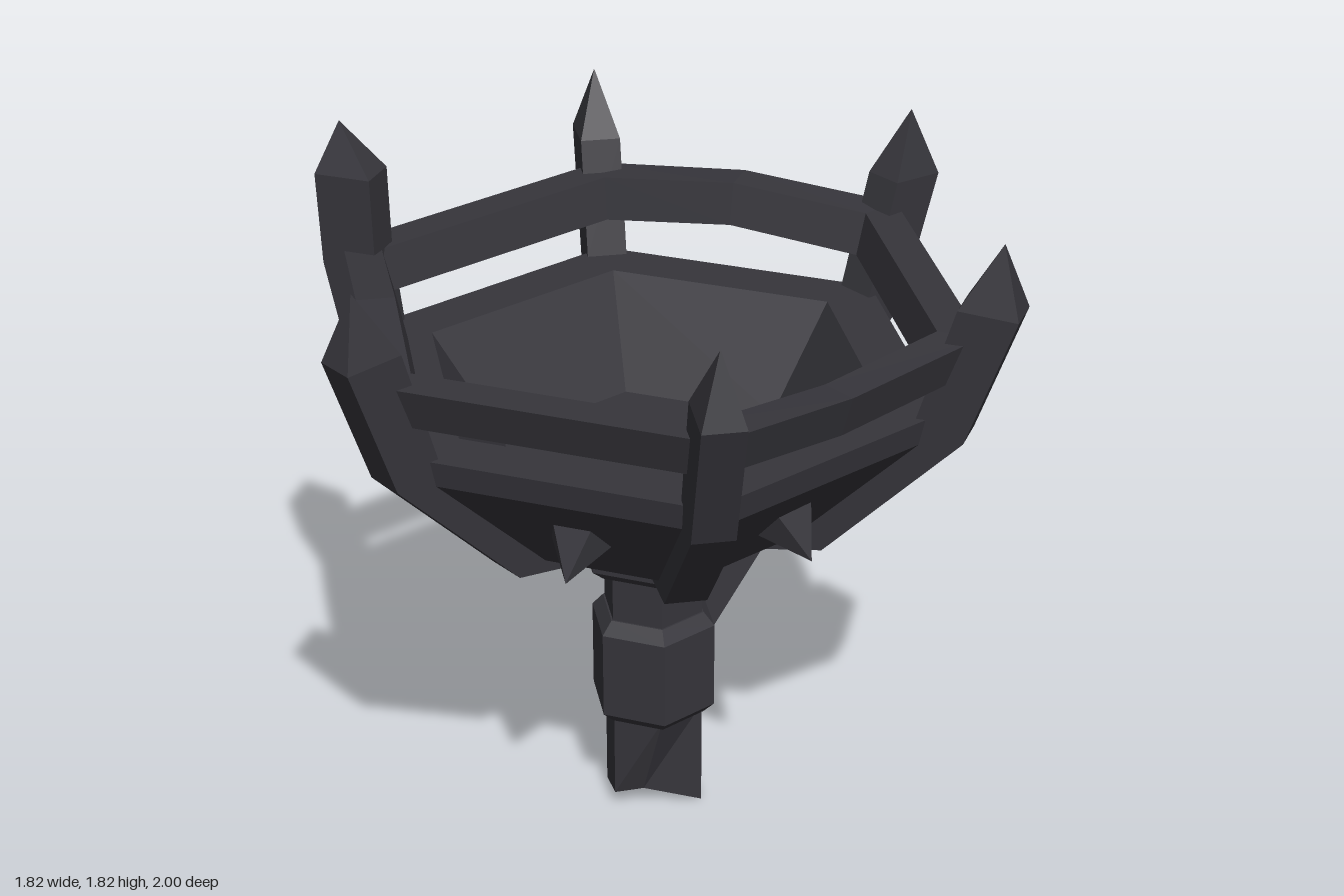
import * as THREE from 'three';

const iron = new THREE.MeshStandardMaterial({ color: 0x36353b, flatShading: true });
iron.name = 'darkIron';

function part(name, geometry, parent) {
  const mesh = new THREE.Mesh(geometry, iron);
  mesh.name = name;
  parent.add(mesh);
  return mesh;
}

// Six-sided turned form with corners on the x axis; profile runs bottom to top
function hexTurn(profile) {
  const pts = profile.map(([r, y]) => new THREE.Vector2(r, y));
  return new THREE.LatheGeometry(pts, 6, Math.PI / 6);
}

// Solid through four-cornered sections, capped at both ends
function loft(sections) {
  const index = [0, 1, 2, 0, 2, 3];
  for (let i = 0; i < sections.length - 1; i++) {
    for (let j = 0; j < 4; j++) {
      const a = i * 4 + j, b = i * 4 + (j + 1) % 4;
      index.push(a, a + 4, b, a + 4, b + 4, b);
    }
  }
  const e = (sections.length - 1) * 4;
  index.push(e, e + 2, e + 1, e, e + 3, e + 2);
  const geo = new THREE.BufferGeometry();
  geo.setAttribute('position', new THREE.Float32BufferAttribute(sections.flat(2), 3));
  geo.setIndex(index);
  geo.computeVertexNormals();
  return geo;
}

// Curved upright with a pointed tip; rows are outer r, outer y, inner r, inner y
function ribGeometry(tall) {
  const rows = [
    [0.10, 0.80, 0.10, 0.88],
    [0.47, 0.86, 0.42, 0.95],
    [0.82, 1.22, 0.70, 1.27],
  ];
  if (tall) rows.push([0.87, 1.45, 0.725, 1.47], [0.88, 1.69, 0.73, 1.69], [0.83, 1.82, 0.83, 1.82]);
  else rows.push([0.94, 1.56, 0.79, 1.57], [0.885, 1.735, 0.885, 1.735]);
  return loft(rows.map(([ro, yo, ri, yi], i) => {
    const w = i === rows.length - 1 ? 0.001 : 0.053;
    return [[ro, yo, -w], [ro, yo, w], [ri, yi, w], [ri, yi, -w]];
  }));
}

// Straight band segment between two uprights, its middle bent by dy
function bandGeometry(dy) {
  const corners = [[0.80, 1.375], [0.70, 1.375], [0.73, 1.485], [0.84, 1.485]];
  const c = Math.cos(Math.PI / 3), s = Math.sin(Math.PI / 3);
  return loft([0, 0.5, 1].map((t) => corners.map(([r, y]) => [
    r * (1 - t + t * c), y + (t === 0.5 ? dy : 0), r * t * s,
  ])));
}

export function createModel() {
  const model = new THREE.Group();
  model.name = 'wallBrazier';
  const body = new THREE.Group();
  body.name = 'brazierBody';
  body.position.set(-0.03, 0, 0.155);
  model.add(body);

  // Bowl with thick rim and flat floor
  part('bowl', hexTurn([
    [0, 0.82], [0.12, 0.82], [0.42, 0.88], [0.74, 1.2], [0.755, 1.27],
    [0.6, 1.27], [0.41, 1.0], [0, 1.0],
  ]), body);

  // Uprights, bent bands and studs around the bowl
  const bends = [-0.025, 0, 0.03, 0, 0.035, 0];
  for (let k = 0; k < 6; k++) {
    const a = k * Math.PI / 3;
    part('rib', ribGeometry(k === 3), body).rotation.y = -a;
    part('band', bandGeometry(bends[k]), body).rotation.y = -a;

    const m = a + Math.PI / 6;
    const out = new THREE.Vector3(Math.cos(m) * 0.756, -0.655, Math.sin(m) * 0.756);
    const cone = new THREE.ConeGeometry(0.088, 0.13, 5).translate(0, 0.055, 0);
    const stud = part('stud', cone, body);
    stud.position.set(Math.cos(m) * 0.51, 1.05, Math.sin(m) * 0.51);
    stud.quaternion.setFromUnitVectors(new THREE.Vector3(0, 1, 0), out);
  }

  // Stem, collar and the cap under the bowl
  part('upperStem', hexTurn([[0.135, 0.5], [0.135, 0.76]]), body);
  part('collar', hexTurn([
    [0, 0.28], [0.14, 0.28], [0.17, 0.31], [0.17, 0.55], [0.14, 0.585], [0, 0.585],
  ]), body);
  part('stemCap', hexTurn([
    [0, 0.72], [0.165, 0.72], [0.2, 0.75], [0.2, 0.805], [0.17, 0.83], [0, 0.83],
  ]), body);

  // Broken lower stem with a jagged end
  const stem = new THREE.CylinderGeometry(0.135, 0.135, 0.3, 6, 1).rotateY(Math.PI / 6);
  stem.translate(0, 0.15, 0);
  const p = stem.attributes.position;
  for (let i = 0; i < p.count; i++) {
    if (p.getY(i) > 0.1) continue;
    const x = p.getX(i), z = p.getZ(i);
    if (Math.hypot(x, z) < 0.01) p.setY(i, 0.07);
    else if (z > 0.05 && x > 0) p.setXYZ(i, 0, 0.055, 0.08);
    else if (z > 0.05) p.setY(i, 0.05);
    else p.setY(i, x < -0.1 ? 0.01 : 0);
  }
  part('brokenStem', stem, body);

  // Wall arm reaching back, with a wider end block
  const arm = new THREE.Group();
  arm.name = 'wallArm';
  arm.position.set(-0.035, 0.425, 0);
  arm.rotation.y = 0.02;
  model.add(arm);
  part('armRod', hexTurn([[0, -0.05], [0.107, 0], [0.107, 0.8]]).rotateX(-Math.PI / 2), arm);
  part('armEnd', hexTurn([
    [0, 0.77], [0.125, 0.77], [0.168, 0.8], [0.168, 1.0], [0, 1.0],
  ]).rotateX(-Math.PI / 2), arm);

  return model;
}
